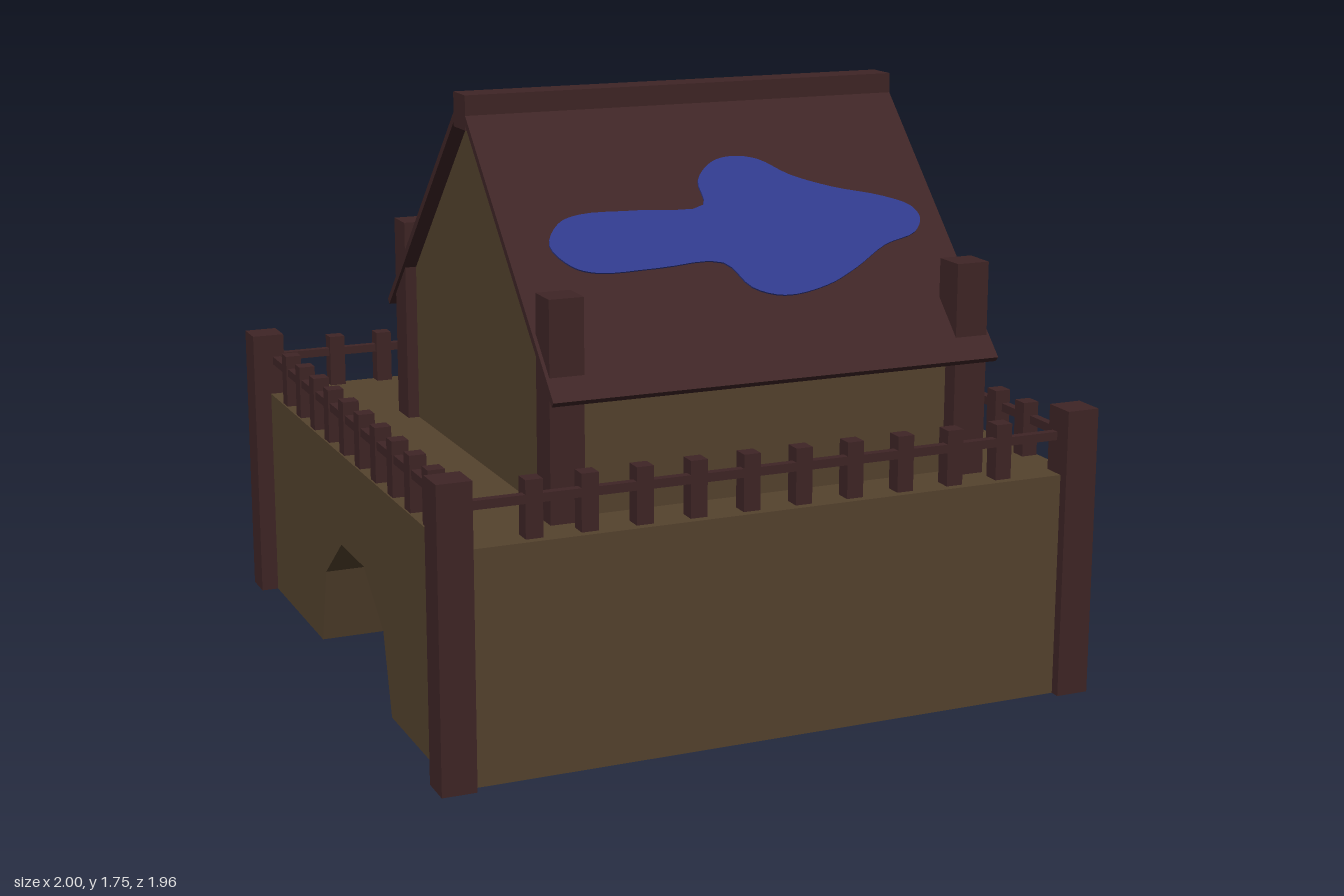
import * as THREE from 'three';

const wood = new THREE.MeshStandardMaterial({ color: 0x3f2526 });
wood.name = 'darkWood';
const clay = new THREE.MeshStandardMaterial({ color: 0x55432e });
clay.name = 'clay';
const blue = new THREE.MeshStandardMaterial({ color: 0x303a8c });
blue.name = 'bluePaint';

export function createModel() {
  const model = new THREE.Group();
  model.name = 'gatehouse';

  // Box given by its limits on each axis
  const box = (name, mat, [x0, x1], [y0, y1], [z0, z1], parent = model) => {
    const m = new THREE.Mesh(new THREE.BoxGeometry(x1 - x0, y1 - y0, z1 - z0), mat);
    m.position.set((x0 + x1) / 2, (y0 + y1) / 2, (z0 + z1) / 2);
    m.name = name;
    parent.add(m);
    return m;
  };
  const outline = (pts) => pts.map(([z, y]) => new THREE.Vector2(-z, y));

  // Profile in (z, y), extruded along x
  const slab = (name, pts, x0, x1, hole) => {
    const shape = new THREE.Shape(outline(pts));
    if (hole) shape.holes.push(new THREE.Path(outline(hole)));
    const g = new THREE.ExtrudeGeometry(shape, { depth: x1 - x0, bevelEnabled: false });
    g.rotateY(Math.PI / 2).translate(x0, 0, 0);
    const m = new THREE.Mesh(g, clay);
    m.name = name;
    model.add(m);
  };

  // Base with an arched tunnel running from side to side
  const deck = 0.667;
  slab('base', [
    [0.95, 0], [0.95, deck], [-0.955, deck], [-0.955, 0], [-0.34, 0], [-0.28, 0.24],
    [-0.10, 0.38], [0.13, 0.38], [0.31, 0.24], [0.375, 0],
  ], -0.947, 0.957);

  // Corner posts
  for (const x of [-0.95, 0.95])
    for (const z of [-0.93, 0.93])
      box('cornerPost', wood, [x - 0.05, x + 0.05], [0, 0.862], [z - 0.05, z + 0.05]);

  // Fence: rails and pickets on all four sides
  const fence = new THREE.Group();
  fence.name = 'fence';
  model.add(fence);
  const railY = [0.765, 0.79], picketY = [deck, 0.83];
  for (const [rail, picket] of [[[0.90, 0.925], [0.875, 0.925]], [[-0.95, -0.925], [-0.963, -0.914]]]) {
    box('rail', wood, [-0.91, 0.91], railY, rail, fence);
    for (let i = 0; i < 10; i++) {
      const x = -0.71 + i * 0.1592;
      box('picket', wood, [x - 0.025, x + 0.025], picketY, picket, fence);
    }
  }
  for (const [rail, picket] of [[[-0.937, -0.912], [-0.942, -0.893]], [[0.925, 0.95], [0.903, 0.952]]]) {
    box('rail', wood, rail, railY, [-0.9, 0.9], fence);
    for (let i = 0; i < 10; i++) {
      const z = -0.72 + i * 0.159;
      box('picket', wood, picket, picketY, [z - 0.025, z + 0.025], fence);
    }
  }

  // House walls: two gables, one with a low doorway, and two long walls
  const gable = [[0.78, deck], [0.78, 1.10], [0.163, 1.717], [-0.455, 1.10], [-0.455, deck]];
  const door = [[0.6, deck + 0.001], [0.6, 0.865], [0.27, 0.865], [0.27, deck + 0.001]];
  slab('doorGable', gable, 0.65, 0.67, door);
  slab('plainGable', gable, -0.595, -0.575);
  box('frontWall', clay, [-0.575, 0.65], [deck, 1.10], [0.76, 0.78]);
  box('backWall', clay, [-0.575, 0.65], [deck, 1.10], [-0.455, -0.435]);

  // House posts rising through the roof
  for (const x of [-0.58, 0.657])
    for (const z of [-0.458, 0.785])
      box('housePost', wood, [x - 0.05, x + 0.05], [deck, 1.288], [z - 0.05, z + 0.05]);

  // Ridge beam
  box('ridgeBeam', wood, [-0.64, 0.715], [1.655, 1.755], [0.113, 0.213]);

  // Painted patches, as (x, height) points round each outline
  const frontPatch = [
    [-0.515, 1.37], [-0.47, 1.42], [-0.40, 1.438], [-0.22, 1.438], [-0.02, 1.44], [-0.01, 1.50],
    [0.05, 1.543], [0.12, 1.555], [0.2, 1.543], [0.28, 1.5], [0.4, 1.462], [0.55, 1.43],
    [0.63, 1.40], [0.645, 1.37], [0.61, 1.335], [0.5, 1.31], [0.38, 1.26], [0.27, 1.225],
    [0.13, 1.21], [0.04, 1.235], [-0.02, 1.298], [-0.22, 1.298], [-0.40, 1.298], [-0.47, 1.318],
  ];
  const backPatch = [
    [-0.565, -0.18], [-0.53, -0.222], [-0.45, -0.245], [-0.2, -0.26], [0.06, -0.245], [0.08, -0.29],
    [0.14, -0.315], [0.22, -0.32], [0.3, -0.295], [0.36, -0.235], [0.5, -0.195], [0.55, -0.165],
    [0.555, -0.135], [0.52, -0.09], [0.4, -0.055], [0.3, -0.025], [0.2, -0.02], [0.12, -0.045],
    [0.06, -0.105], [0, -0.13], [-0.15, -0.14], [-0.3, -0.13], [-0.45, -0.115], [-0.53, -0.135],
  ].map(([x, z]) => [x, 1.584 + z]);

  // Roof slopes at 45 degrees, each carrying its patch
  const ridgeY = 1.747, length = 1.028;
  for (const [name, side, patch] of [['frontRoof', 1, frontPatch], ['backRoof', -1, backPatch]]) {
    const turn = new THREE.Group();
    turn.name = name;
    turn.position.set(0, ridgeY, 0.163);
    if (side < 0) turn.rotation.y = Math.PI;
    const slope = new THREE.Group();
    slope.rotation.x = -Math.PI / 4;
    turn.add(slope);
    model.add(turn);
    const ends = [-0.64 * side, 0.715 * side].sort((a, b) => a - b);
    box('roofSlab', wood, ends, [-length, 0], [-0.02, 0], slope);

    const pts = patch.map(([x, y]) => new THREE.Vector3(x * side, (y - ridgeY) * Math.SQRT2, 0));
    const curve = new THREE.CatmullRomCurve3(pts, true);
    const shape = new THREE.Shape(curve.getPoints(96).slice(0, -1).map((p) => new THREE.Vector2(p.x, p.y)));
    const paint = new THREE.Mesh(
      new THREE.ExtrudeGeometry(shape, { depth: 0.005, bevelEnabled: false }), blue);
    paint.name = 'paintedPatch';
    slope.add(paint);
  }
  return model;
}
